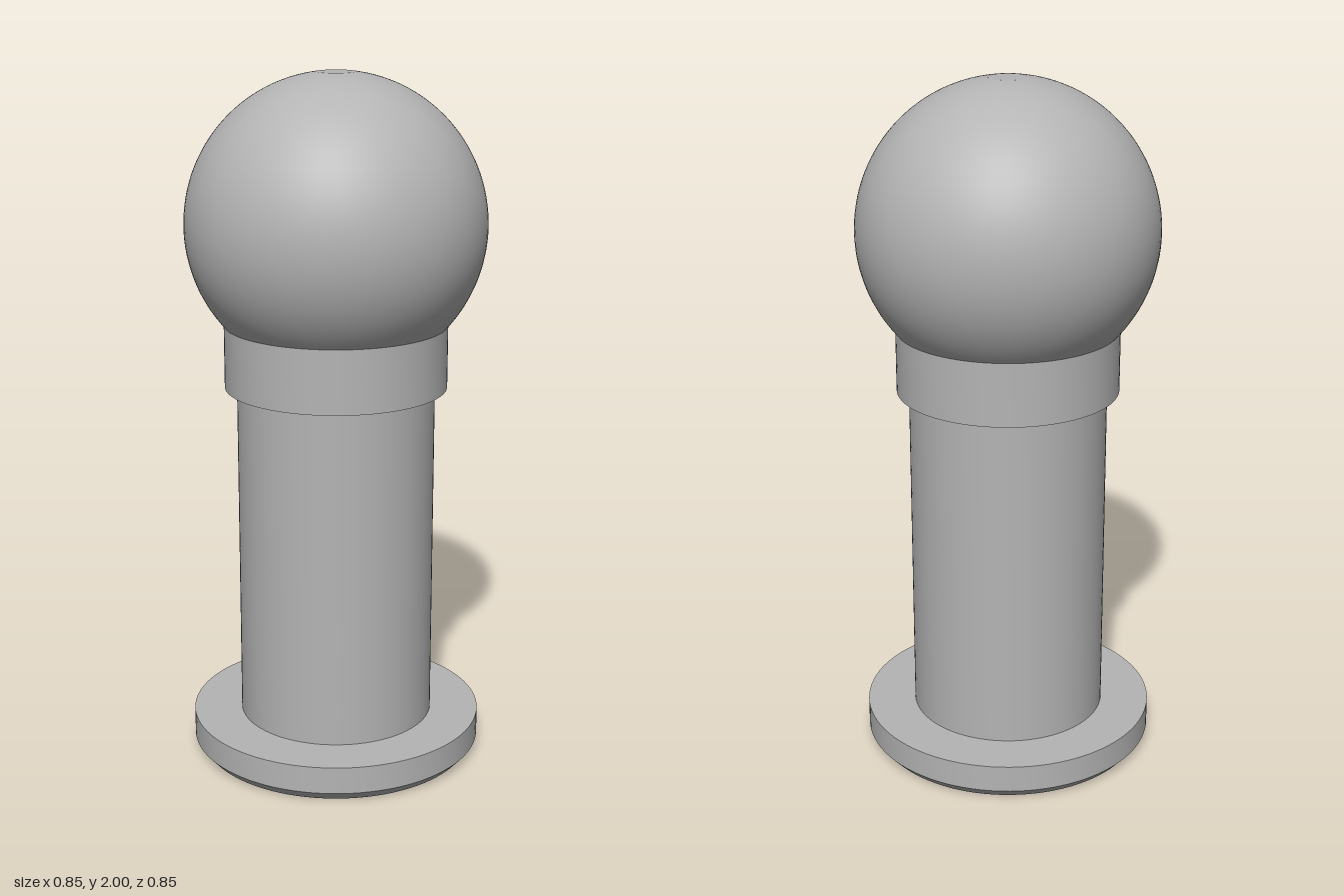
import * as THREE from 'three';
import { toCreasedNormals } from 'three/addons/utils/BufferGeometryUtils.js';

const SEGMENTS = 96;
const BALL_R = 0.427, BALL_Y = 1.5765, COLLAR_R = 0.32, SHAFT_R = 0.285;

export function createModel() {
  const group = new THREE.Group();
  const steel = new THREE.MeshStandardMaterial({ color: 0xb4b4b4 });
  steel.name = 'grey steel';

  // Turn a profile of [radius, height] points, listed upwards on the outside
  const turn = (name, profile) => {
    const points = profile.map(([r, y]) => new THREE.Vector2(r, y));
    const geometry = toCreasedNormals(new THREE.LatheGeometry(points, SEGMENTS), 0.4);
    const mesh = new THREE.Mesh(geometry, steel);
    mesh.name = name;
    group.add(mesh);
  };

  // Chamfered flange with the countersunk mouth of the bore
  turn('baseFlange', [
    [0.175, 0.04], [0.217, 0], [0.4, 0], [0.427, 0.03], [0.427, 0.11], [SHAFT_R, 0.11],
  ]);
  turn('shaft', [[SHAFT_R, 0.11], [SHAFT_R, 1.11]]);

  // Blind bore, facing inwards
  turn('bore', [[0, 1.0], [0.175, 1.0], [0.175, 0.04]]);

  turn('collar', [[SHAFT_R, 1.11], [COLLAR_R, 1.11], [COLLAR_R, 1.295]]);

  // Ball cut by the collar below and a small flat on top
  const start = -Math.acos(COLLAR_R / BALL_R);
  const end = Math.acos(0.055 / BALL_R);
  const ball = [];
  for (let i = 0; i <= 48; i++) {
    const a = start + (end - start) * i / 48;
    ball.push([BALL_R * Math.cos(a), BALL_Y + BALL_R * Math.sin(a)]);
  }
  turn('ball', ball);
  turn('topFlat', [[0.055, 2], [0, 2]]);

  return group;
}
